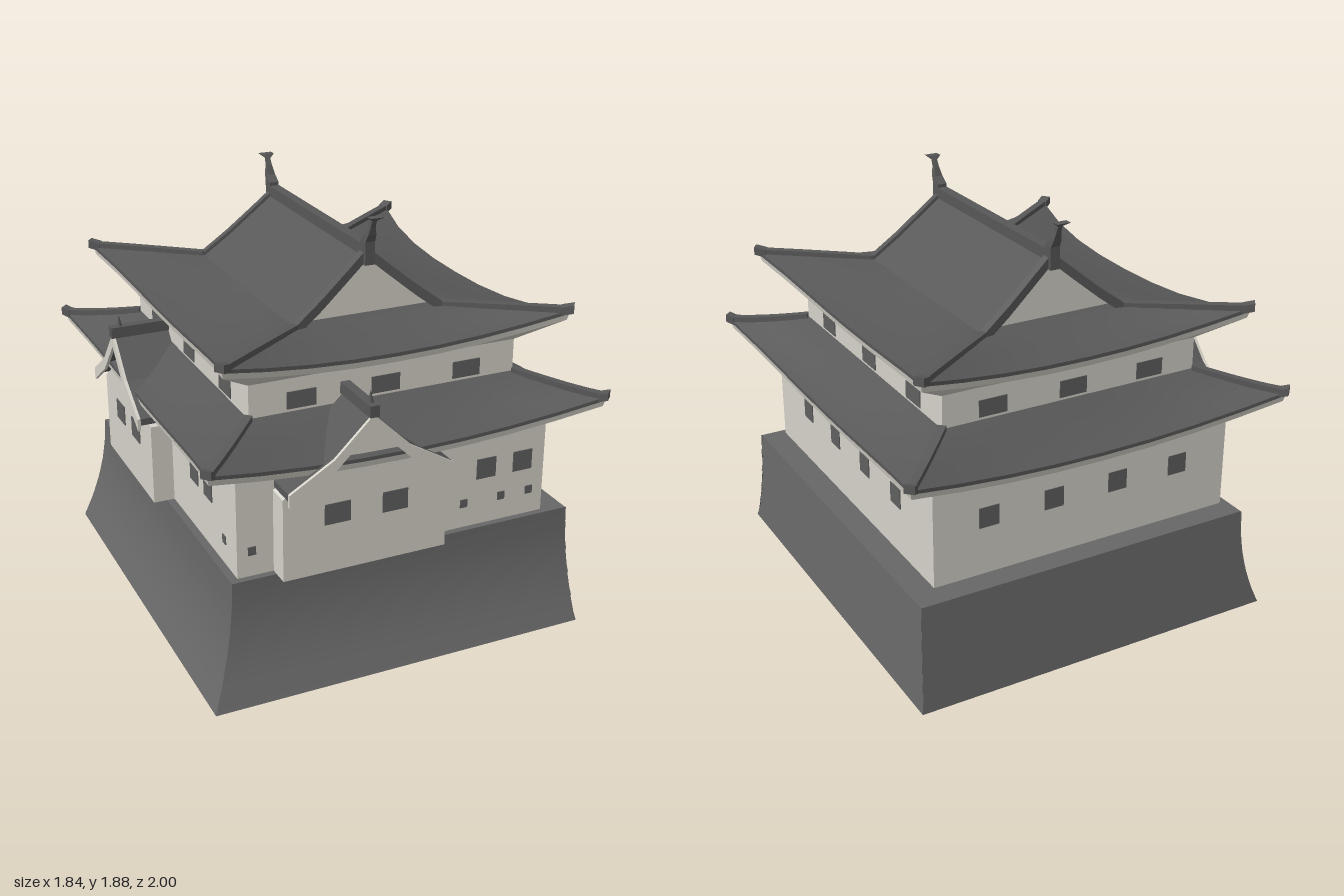
import * as THREE from 'three';

const mat = (name, color) => {
  const m = new THREE.MeshStandardMaterial({ color, side: THREE.DoubleSide });
  m.name = name;
  return m;
};

export function createModel() {
  const root = new THREE.Group();
  root.name = 'castleKeep';
  const stone = mat('stone', 0x676767);
  const plaster = mat('plaster', 0xd6d3ca);
  const tile = mat('roofTile', 0x585858);
  const shutter = mat('windowShutter', 0x606060);

  const add = (name, geo, material, parent = root) => {
    const m = new THREE.Mesh(geo, material);
    m.name = name;
    parent.add(m);
    return m;
  };
  const box = (name, w, h, d, x, y, z, material, parent) => {
    const m = add(name, new THREE.BoxGeometry(w, h, d), material, parent);
    m.position.set(x, y, z);
    return m;
  };
  // Surface through rows of [x, y, z] points
  const grid = (rows, flat = false, closed = false) => {
    const n = rows[0].length, idx = [];
    for (let i = 0; i < rows.length - 1; i++)
      for (let j = 0; j < (closed ? n : n - 1); j++) {
        const k = (j + 1) % n, a = i * n, b = a + n;
        idx.push(a + j, a + k, b + j, a + k, b + k, b + j);
      }
    if (closed) {
      const e = (rows.length - 1) * n;
      idx.push(0, 2, 1, 0, 3, 2, e, e + 1, e + 2, e, e + 2, e + 3);
    }
    let g = new THREE.BufferGeometry();
    g.setAttribute('position', new THREE.Float32BufferAttribute(rows.flat(2), 3));
    g.setIndex(idx);
    if (flat) g = g.toNonIndexed();
    g.computeVertexNormals();
    return g;
  };
  // Rectangular bar resting on a path
  const bar = (name, pts, w, h, material) => {
    const rows = pts.map((p, i) => {
      const a = pts[Math.max(i - 1, 0)], b = pts[Math.min(i + 1, pts.length - 1)];
      const dx = b[0] - a[0], dz = b[2] - a[2], l = Math.hypot(dx, dz) || 1;
      const sx = -dz / l * w / 2, sz = dx / l * w / 2, [x, y, z] = p;
      return [[x - sx, y - 0.01, z - sz], [x + sx, y - 0.01, z + sz],
        [x + sx, y + h, z + sz], [x - sx, y + h, z - sz]];
    });
    add(name, grid(rows, true, true), material);
  };
  const extrude = (pts, z0, z1) => {
    const g = new THREE.ExtrudeGeometry(new THREE.Shape(pts.map(p => new THREE.Vector2(...p))),
      { depth: z1 - z0, bevelEnabled: false });
    return g.translate(0, 0, z0);
  };
  // Side k (0 front, 1 +x, 2 back, 3 -x): along a, outward o
  const onSide = (k, a, o) => [[a, o], [o, -a], [-a, -o], [-o, a]][k];

  // Stone base: front and -x flare in a curve, the other two are stepped courses
  const N = 5, H = 0.51;
  const flare = y => 0.135 * (1 - y / H) ** 2;
  const ys = Array.from({ length: N + 1 }, (_, i) => i * H / N);
  const front = y => 0.835 + flare(y), left = y => -0.755 - flare(y);
  add('baseFront', grid(ys.map(y => [[left(y), y, front(y)], [0.836, y, front(y)]])), stone);
  add('baseSide', grid(ys.map(y => [[left(y), y, -0.918], [left(y), y, front(y)]])), stone);
  const courses = ys.slice(0, N).flatMap((y, i) => [[y, 0.005], [ys[i + 1], -0.007]]);
  add('baseCoursesSide', grid(courses.map(([y, o]) =>
    [[0.835 + o, y, front(y)], [0.835 + o, y, -0.915 - o]]), true), stone);
  add('baseCoursesBack', grid(courses.map(([y, o]) =>
    [[0.835 + o, y, -0.915 - o], [left(y), y, -0.915 - o]]), true), stone);
  add('baseTop', grid([[[-0.755, H, 0.835], [0.832, H, 0.835]], [[-0.755, H, -0.912], [0.832, H, -0.912]]]), stone);

  // Storeys
  box('lowerStorey', 1.44, 0.45, 1.61, 0, 0.735, 0, plaster);
  box('upperStorey', 1.22, 0.26, 1.37, 0, 1.18, 0, plaster);

  // Skirt roof with upswept corners, pale fascia, soffit and hip ridges
  const skirt = (name, r) => {
    for (let k = 0; k < 4; k++) {
      const e = k % 2, A = r.corner[e], O = r.corner[1 - e], M = r.mid[1 - e];
      const row = (t, dy, inset, inner) => Array.from({ length: 9 }, (_, i) => {
        const s = i / 4 - 1, f = Math.abs(s);
        const o = M + (O - M) * f ** 3 - inset, y = r.y + r.lift * f ** 2.3 + dy;
        const [x, z] = onSide(k, s * (A - inset + (inner[e] - A + inset) * t), o + (inner[1 - e] - o) * t);
        return [x, y + (inner[2] - y) * t ** (inner[3] || 1), z];
      });
      const top = [...r.inner, 1.35];
      add(name + 'Tiles', grid([0, 0.2, 0.4, 0.6, 0.8, 1].map(t => row(t, 0, 0, top))), tile);
      add(name + 'Edge', grid([row(0, 0, 0, top), row(0, -0.016, 0, top)]), tile);
      add(name + 'Fascia', grid([row(0, -0.016, 0, top), row(0, -0.042, 0.006, top)]), plaster);
      add(name + 'Soffit', grid([row(0, -0.042, 0.006, r.wall), row(1, 0, 0, r.wall)]), plaster);
      const hip = [0, 0.2, 0.4, 0.6, 0.8, 1].map(t => row(t, 0, 0, top)[8]);
      bar(name + 'HipRidge', hip, 0.035, 0.018, tile);
      // Blunt end tile on each hip
      const [p, q] = hip, out = [p[0] + (p[0] - q[0]) * 0.18, p[1] + 0.004, p[2] + (p[2] - q[2]) * 0.18];
      bar(name + 'HipEnd', [[p[0] + (q[0] - p[0]) * 0.3, p[1] - 0.008, p[2] + (q[2] - p[2]) * 0.3], out], 0.045, 0.026, tile);
    }
  };
  skirt('lowerRoof', { corner: [0.895, 0.975], mid: [0.84, 0.93], y: 1.005, lift: 0.082,
    inner: [0.61, 0.685, 1.15], wall: [0.72, 0.805, 0.945] });
  skirt('upperRoof', { corner: [0.775, 0.84], mid: [0.71, 0.785], y: 1.37, lift: 0.08,
    inner: [0.34, 0.53, 1.44], wall: [0.61, 0.685, 1.295] });

  // Gabled top of the upper roof
  const slope = [[0.34, 1.44, 0.53], [0.22, 1.53, 0.515], [0.1, 1.63, 0.5], [0, 1.715, 0.488]];
  box('gableFloor', 0.68, 0.01, 1.06, 0, 1.435, 0, tile);
  for (const s of [-1, 1]) {
    add('gableRoof', grid(slope.map(([x, y, z]) => [[s * x, y, z], [s * x, y, -z]])), tile);
    for (const e of [-1, 1])
      bar('gableRake', slope.map(([x, y, z]) => [s * x, y - 0.022, e * z]), 0.035, 0.038, tile);
    // Plaster gable panel
    const g = extrude([[-0.32, 1.435], [0.32, 1.435], [0.21, 1.53], [0.1, 1.62], [0, 1.7],
      [-0.1, 1.62], [-0.21, 1.53]], -0.004, 0.004);
    add('gablePanel', g, plaster).position.z = s * 0.475;
    // Fish-tail ridge ornament
    const tail = [[0.5, 1.66, 0.022, 0.025], [0.5, 1.76, 0.022, 0.025], [0.525, 1.79, 0.019, 0.016],
      [0.538, 1.83, 0.011, 0.012], [0.552, 1.858, 0.01, 0.01], [0.57, 1.876, 0.032, 0.018]];
    add('ridgeOrnament', grid(tail.map(([z, y, hx, hz]) => [[-hx, y, s * (z - hz)], [hx, y, s * (z - hz)],
      [hx, y, s * (z + hz)], [-hx, y, s * (z + hz)]]), true, true), tile);
  }
  box('mainRidge', 0.045, 0.06, 1.0, 0, 1.715, 0, tile);

  // Windows as thin plates
  const win = (k, a, o, y, w, h) => {
    const [x, z] = onSide(k, a, o);
    box('window', w, h, 0.008, x, y, z, shutter).rotation.y = k * Math.PI / 2;
  };
  for (const k of [1, 2])
    for (const a of [-0.465, -0.157, 0.157, 0.465]) win(k, a, k === 1 ? 0.72 : 0.805, 0.775, 0.092, 0.092);
  for (let k = 0; k < 4; k++)
    for (const i of [-1, 0, 1]) win(k, i * (k % 2 ? 0.43 : 0.38), k % 2 ? 0.61 : 0.685, 1.2, 0.13, 0.075);
  for (const a of [0.43, 0.61]) win(0, a, 0.805, 0.775, 0.094, 0.094);
  for (const a of [-0.655, 0.325, 0.51, 0.65]) win(0, a, 0.805, 0.625, 0.035, 0.038);
  for (const a of [0.325, 0.49]) win(3, a, 0.72, 0.775, 0.094, 0.094);
  for (const a of [-0.69, 0.67]) win(3, a, 0.72, 0.625, 0.035, 0.038);

  // Projecting gabled bay; D is the distance of its wall from the centre
  const bay = (name, half, D, gap) => {
    const g = new THREE.Group();
    g.name = name;
    root.add(g);
    const k = half / 0.37, m = 0.17 * k, b = half - 0.005;
    add('bayWall', extrude([[-half, 0.51], [half, 0.51], [half, 0.88], [m, 1.0], [0, 1.17],
      [-m, 1.0], [-half, 0.88]], D - 0.19, D), plaster, g);
    const chevron = t => [[-b, 0.925], [-m, 1.04], [0, 1.205], [m, 1.04], [b, 0.925],
      [b, 0.925 - t], [m, 1.04 - t], [0, 1.205 - t], [-m, 1.04 - t], [-b, 0.925 - t]];
    add('bayRoof', extrude(chevron(0.03), D - 0.21, D + 0.042), tile, g);
    add('bargeBoard', extrude(chevron(0.056), D + 0.042, D + 0.056), plaster, g);
    box('bayRidge', 0.042, 0.05, 0.275, 0, 1.22, D - 0.075, tile, g);
    const spike = add('bayFinial', new THREE.ConeGeometry(0.014, 0.055, 6), tile, g);
    spike.position.set(0, 1.27, D + 0.02);
    for (const s of [-1, 1]) box('window', 0.115, 0.092, 0.008, s * gap, 0.775, D, shutter, g);
    return g;
  };
  bay('frontBay', 0.37, 0.905, 0.13).position.x = -0.19;
  const side = bay('sideBay', 0.33, 0.815, 0.11);
  side.rotation.y = -Math.PI / 2;
  side.position.z = -0.29;

  return root;
}
